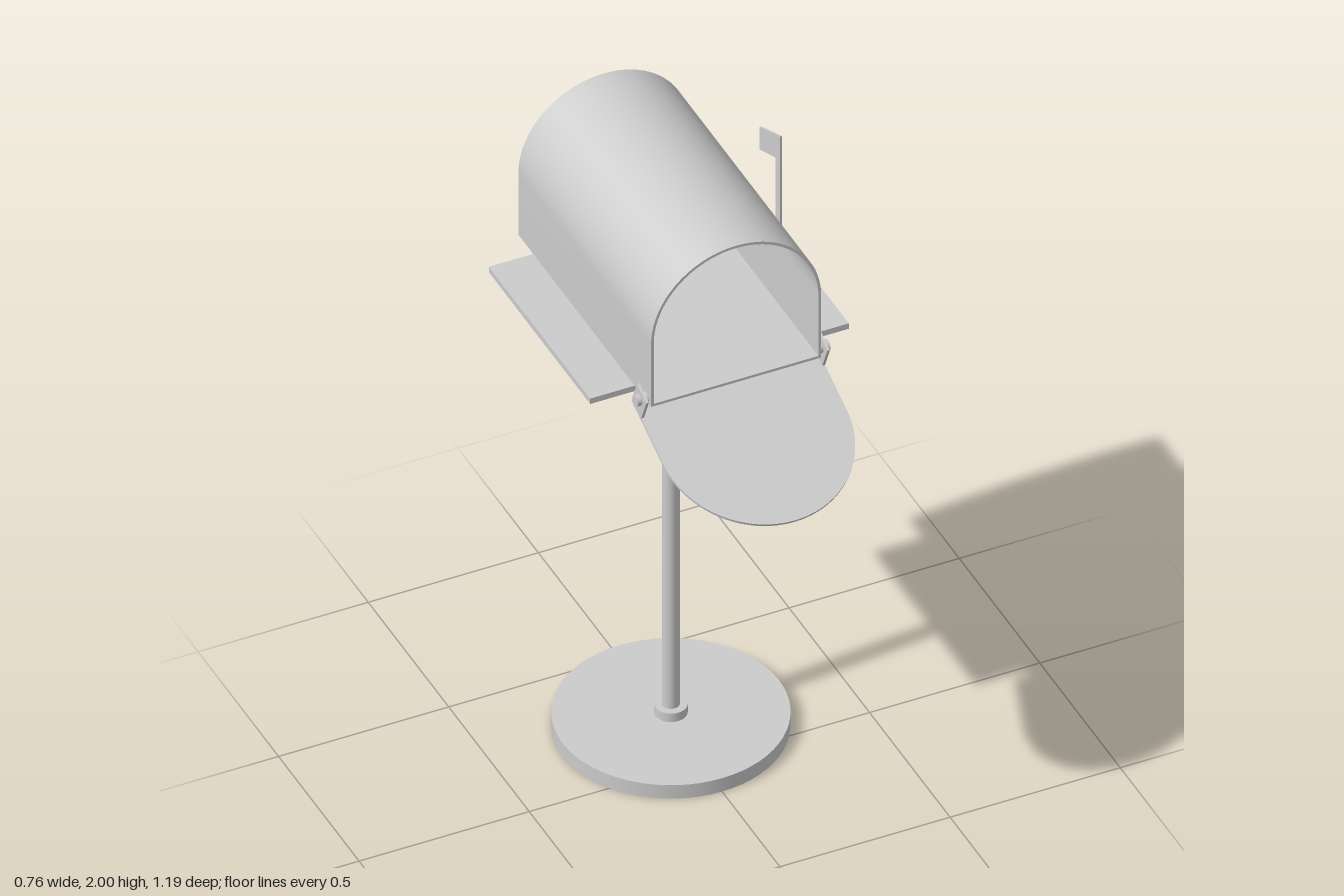
import * as THREE from 'three';
import { toCreasedNormals } from 'three/addons/utils/BufferGeometryUtils.js';

const material = new THREE.MeshStandardMaterial({ color: 0xcccccc, side: THREE.DoubleSide });

function add(parent, name, geometry, x = 0, y = 0, z = 0) {
  const mesh = new THREE.Mesh(geometry, material);
  mesh.name = name;
  mesh.position.set(x, y, z);
  parent.add(mesh);
  return mesh;
}

// Upright sides closed by a semicircle; also used for holes and the door
function arch(half, bottom, spring, Type = THREE.Shape) {
  const s = new Type();
  s.moveTo(-half, bottom);
  s.lineTo(half, bottom);
  s.lineTo(half, spring);
  s.absarc(0, spring, half, 0, Math.PI, false);
  s.lineTo(-half, bottom);
  return s;
}

function extrude(shape, depth) {
  const g = new THREE.ExtrudeGeometry(shape, { depth, bevelEnabled: false, curveSegments: 28 });
  return toCreasedNormals(g, 0.5);
}

const cylinder = (r, h, sides = 32) => new THREE.CylinderGeometry(r, r, h, sides);

export function createModel() {
  const model = new THREE.Group();
  model.name = 'mailbox';
  const poleZ = -0.177;

  // Stand
  const stand = new THREE.Group();
  stand.name = 'stand';
  stand.position.z = poleZ;
  model.add(stand);
  add(stand, 'base', cylinder(0.318, 0.045, 64), 0, 0.0225);
  add(stand, 'lowerCollar', cylinder(0.045, 0.03), 0, 0.058);
  add(stand, 'pole', cylinder(0.024, 1.38), 0, 0.73);
  add(stand, 'upperCollar', cylinder(0.047, 0.075), 0, 1.383);
  add(model, 'mountingBoard', new THREE.BoxGeometry(0.76, 0.018, 0.63), 0, 1.43, -0.19);

  // Arched box, open at the front
  const shell = arch(0.25, 1.44, 1.65);
  shell.holes.push(arch(0.242, 1.448, 1.65, THREE.Path));
  add(model, 'shell', extrude(shell, 0.823), 0, 0, -0.595);
  add(model, 'backPanel', extrude(arch(0.245, 1.444, 1.65), 0.008), 0, 0, -0.594);

  // Inner lip of the back panel
  const lip = arch(0.242, 1.448, 1.65);
  lip.holes.push(arch(0.226, 1.484, 1.65, THREE.Path));
  add(model, 'backLip', extrude(lip, 0.02), 0, 0, -0.586);

  // Lowered door; local y runs along the door, local -z points up from it
  const door = new THREE.Group();
  door.name = 'door';
  door.position.set(0, 1.42, 0.152);
  door.rotation.x = Math.PI / 2 + 0.4;
  model.add(door);
  add(door, 'doorPanel', extrude(arch(0.27, 0, 0.21), 0.008));
  for (const side of [-1, 1]) {
    const suffix = side > 0 ? 'Left' : 'Right';
    add(door, 'hingeTab' + suffix, new THREE.BoxGeometry(0.008, 0.063, 0.08), side * 0.266, 0.0315, -0.038);
    const pin = add(door, 'hingePin' + suffix, cylinder(0.017, 0.038, 20), side * 0.264, 0.031, -0.048);
    pin.rotation.z = Math.PI / 2;
  }

  // Raised signal flag, drawn with shape x = -z
  const flag = new THREE.Shape();
  flag.moveTo(0.032, 2);
  flag.lineTo(0.032, 1.625);
  flag.absarc(0.046, 1.625, 0.014, Math.PI, Math.PI * 2, false);
  flag.lineTo(0.06, 1.91);
  flag.lineTo(0.16, 1.867);
  flag.lineTo(0.16, 1.942);
  flag.closePath();
  const flagMesh = add(model, 'flag', extrude(flag, 0.006), 0.252);
  flagMesh.rotation.y = Math.PI / 2;
  const pivot = add(model, 'flagPivot', cylinder(0.014, 0.022, 20), 0.257, 1.64, -0.046);
  pivot.rotation.z = Math.PI / 2;

  return model;
}
